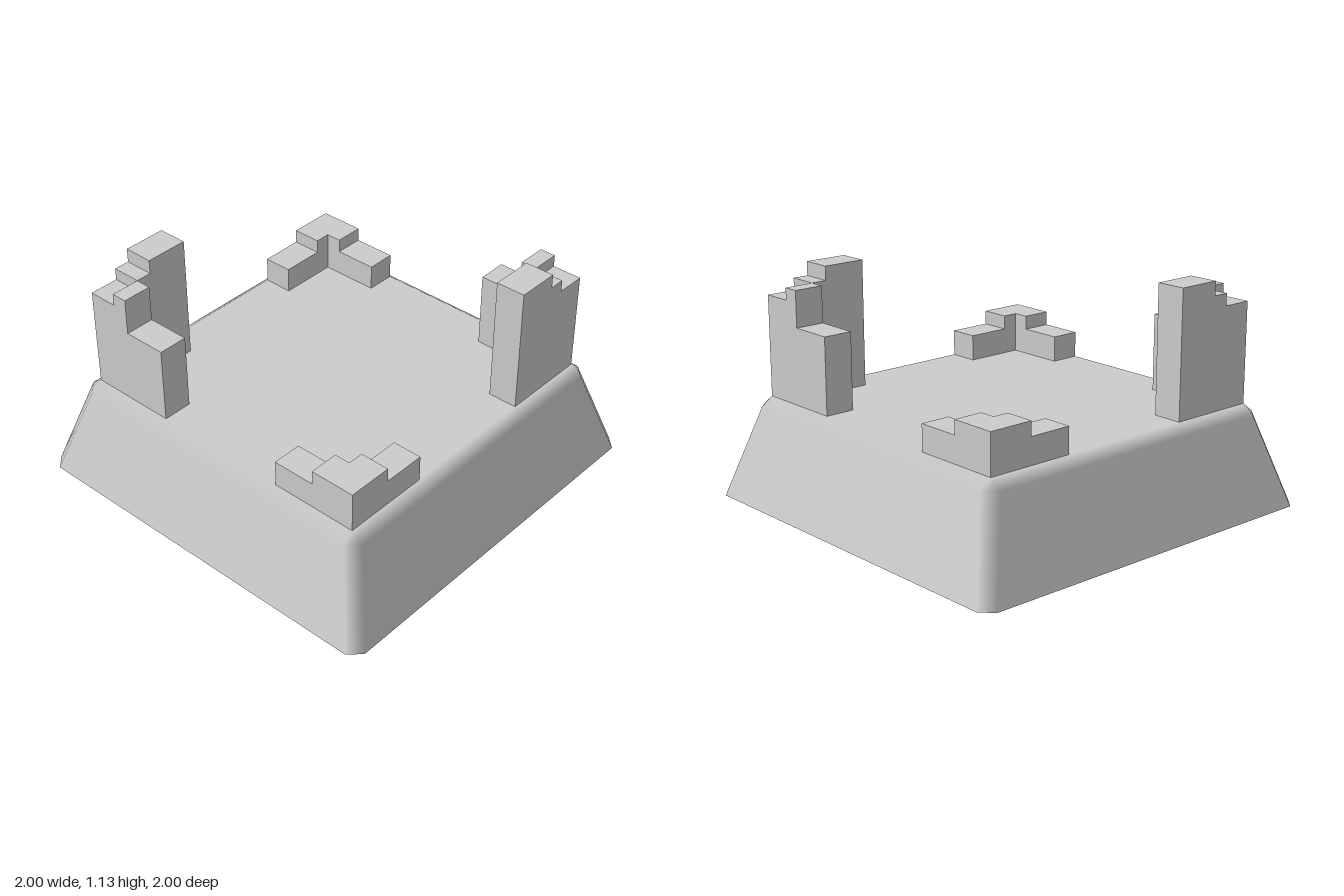
import * as THREE from 'three';

const TOP = 0.5;

function makeGeometry(positions, index) {
  const g = new THREE.BufferGeometry();
  g.setAttribute('position', new THREE.Float32BufferAttribute(positions, 3));
  g.setIndex(index);
  return g;
}

// Hollow tapered base: flat walls and deck joined by softly shaded bevels.
function createBase(material) {
  const positions = [], normals = [], index = [];
  const slope = new THREE.Vector3(0, 0.14, 0.455).normalize();
  const quad = (a, b, c, d) => index.push(a, b, c, a, c, d);
  // Per side: bottom left, bottom right, top right, top left, deck corner
  const side = [[-0.94, 0, 1], [0.94, 0, 1], [0.8, 0.455, 0.86], [-0.8, 0.455, 0.86], [0.8, TOP, 0.8]];
  const up = new THREE.Vector3(0, 1, 0);
  for (let k = 0; k < 4; k++) {
    side.forEach((p, i) => {
      const v = new THREE.Vector3(...p).applyAxisAngle(up, k * Math.PI / 2);
      const n = i === 4 ? up : slope.clone().applyAxisAngle(up, k * Math.PI / 2);
      positions.push(v.x, v.y, v.z);
      normals.push(n.x, n.y, n.z);
    });
    const o = k * 5, next = ((k + 1) % 4) * 5, prev = ((k + 3) % 4) * 5;
    quad(o, o + 1, o + 2, o + 3);                   // wall
    quad(o + 3, o + 2, o + 4, prev + 4);            // upper bevel
    quad(o + 1, next, next + 3, o + 2);             // corner bevel
    index.push(o + 2, next + 3, o + 4);             // bevel tip
  }
  quad(4, 9, 14, 19);                               // deck
  const g = makeGeometry(positions, index);
  g.setAttribute('normal', new THREE.Float32BufferAttribute(normals, 3));
  const mesh = new THREE.Mesh(g, material);
  mesh.name = 'base';
  return mesh;
}

// L-shaped stepped wall; only the exposed faces of its cells are built.
function cornerWallGeometry(corner, xArm, zArm) {
  const spans = [[0.57, 0.65], [0.35, 0.57]];
  const cells = [{ x: [0.65, 0.8], z: [0.65, 0.8], h: corner }];
  spans.forEach((s, i) => {
    cells.push({ x: s, z: [0.65, 0.8], h: xArm[i] });
    cells.push({ x: [0.65, 0.8], z: s, h: zArm[i] });
  });
  const heightAt = (x, z) => {
    const c = cells.find(c => x > c.x[0] && x < c.x[1] && z > c.z[0] && z < c.z[1]);
    return c ? c.h : TOP;
  };
  const positions = [], index = [];
  const quad = (...pts) => {
    const o = positions.length / 3;
    pts.forEach(p => positions.push(...p));
    index.push(o, o + 1, o + 2, o, o + 2, o + 3);
  };
  for (const { x: [x0, x1], z: [z0, z1], h } of cells) {
    // Plan corners, counter-clockwise from above
    const ring = [[x0, z1], [x1, z1], [x1, z0], [x0, z0]];
    quad(...ring.map(([x, z]) => [x, h, z]));
    ring.forEach(([ax, az], i) => {
      const [bx, bz] = ring[(i + 1) % 4];
      const len = Math.hypot(bx - ax, bz - az);
      const low = heightAt((ax + bx) / 2 - (bz - az) / len * 0.01, (az + bz) / 2 + (bx - ax) / len * 0.01);
      if (h > low) quad([ax, low, az], [bx, low, bz], [bx, h, bz], [ax, h, az]);
    });
  }
  const g = makeGeometry(positions, index);
  g.computeVertexNormals();
  return g;
}

export function createModel() {
  const model = new THREE.Group();
  model.name = 'ruinedPlatform';
  const material = new THREE.MeshStandardMaterial({ color: 0xcccccc, side: THREE.DoubleSide });
  model.add(createBase(material));

  // Low and tall corner ruins, each repeated on opposite corners
  const low = cornerWallGeometry(0.7, [0.7, 0.63], [0.7, 0.63]);
  const tall = cornerWallGeometry(1.0, [1.06, 1.13], [1.06, 0.88]);
  const walls = [
    ['frontLeftLowWall', low, 0], ['backLeftTallWall', tall, 1],
    ['backRightLowWall', low, 2], ['frontRightTallWall', tall, 3],
  ];
  for (const [name, geometry, turns] of walls) {
    const mesh = new THREE.Mesh(geometry, material);
    mesh.name = name;
    mesh.rotation.y = turns * Math.PI / 2;
    model.add(mesh);
  }
  return model;
}
